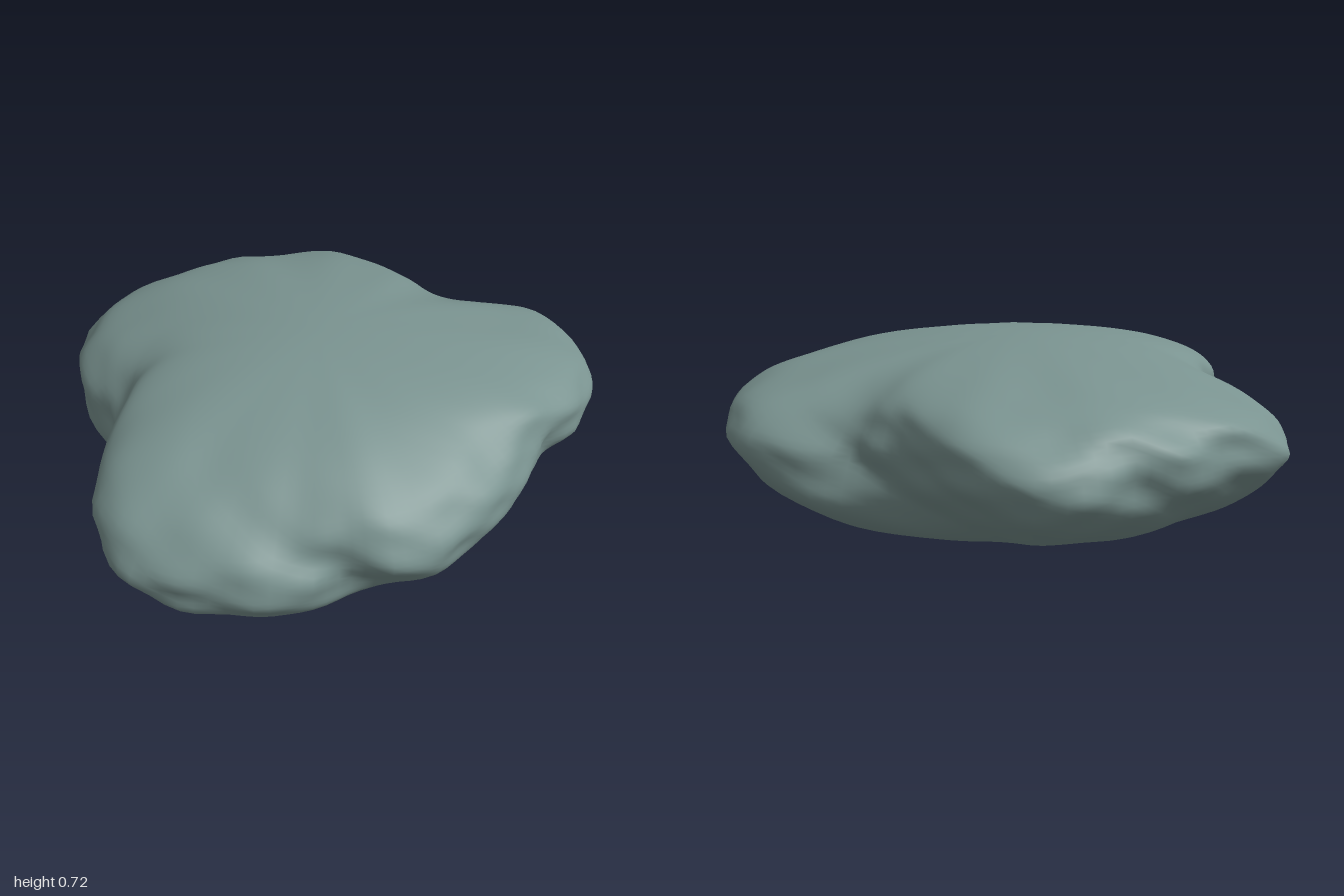
import * as THREE from 'three';
import { mergeVertices } from 'three/addons/utils/BufferGeometryUtils.js';

const CENTRE = { x: 0.02, z: -0.06 };
const HALF_HEIGHT = 0.36;
const TWIST = 0.55; // turn of the lobes from the rim to a pole, in radians
const SOFTEN = 0.5; // how far the outline is averaged near the poles, in radians

// lobed outline of the boulder at its rim, as x, z pairs
const OUTLINE = [
  [0.99, -0.36], [0.95, -0.18], [0.86, -0.05], [0.86, 0.05], [0.83, 0.19], [0.78, 0.35],
  [0.69, 0.5], [0.6, 0.62], [0.5, 0.69], [0.32, 0.71], [0.27, 0.8], [0.15, 0.9],
  [0, 0.94], [-0.13, 0.96], [-0.28, 0.96], [-0.42, 0.88], [-0.5, 0.75], [-0.53, 0.57],
  [-0.53, 0.47], [-0.6, 0.35], [-0.7, 0.24], [-0.8, 0.18], [-0.91, 0.05], [-0.97, -0.06],
  [-1, -0.22], [-0.93, -0.35], [-0.85, -0.46], [-0.8, -0.6], [-0.63, -0.72], [-0.52, -0.91],
  [-0.4, -0.96], [-0.25, -0.97], [-0.1, -0.93], [0, -0.87], [0.13, -0.84], [0.3, -0.77],
  [0.4, -0.82], [0.52, -0.85], [0.68, -0.84], [0.82, -0.76], [0.9, -0.64], [0.97, -0.5],
];

const polar = OUTLINE.map(([x, z]) => {
  const dx = x - CENTRE.x, dz = z - CENTRE.z;
  return { a: Math.atan2(dz, dx), r: Math.hypot(dx, dz) };
}).sort((p, q) => p.a - q.a);

// outline radius in a given direction
function outlineRadius(angle) {
  const n = polar.length, turn = Math.PI * 2;
  const a = Math.atan2(Math.sin(angle), Math.cos(angle));
  const i = Math.max(0, polar.findIndex((p) => p.a > a));
  const p = polar[(i + n - 1) % n], q = polar[i];
  const span = (q.a - p.a + turn) % turn;
  return THREE.MathUtils.lerp(p.r, q.r, ((a - p.a + turn) % turn) / span);
}

// outline averaged over a window that widens away from the rim
function softRadius(angle, h) {
  const width = SOFTEN * Math.abs(h);
  let sum = 0;
  for (let k = -4; k <= 4; k++) sum += outlineRadius(angle + (width * k) / 4);
  return sum / 9;
}

// small weathered bumps, strongest around the rim
function bumps(a, h) {
  return Math.sin(9 * a + 7 * h) * Math.sin(8 * h + 2 * Math.sin(3 * a))
    + 0.6 * Math.sin(23 * a - 9 * h + 1) * Math.sin(9 * h + 4 * a);
}

function boulderGeometry() {
  let geo = new THREE.SphereGeometry(1, 128, 56);
  geo.deleteAttribute('uv');
  geo.deleteAttribute('normal');
  geo = mergeVertices(geo, 1e-5);
  const pos = geo.attributes.position;
  for (let i = 0; i < pos.count; i++) {
    const h = pos.getY(i);
    const ring = Math.hypot(pos.getX(i), pos.getZ(i));
    const a = Math.atan2(pos.getZ(i), pos.getX(i));
    const rim = ring ** 3;
    // lobes and valleys spiral from the lower pole to the upper one
    const spiral = TWIST * Math.sign(h) * Math.abs(h) ** 1.5;
    const r = ring * softRadius(a - spiral, h) * (1 + 0.012 * rim * bumps(a, h));
    // the rim hangs low at the front and rides high elsewhere
    const lift = 0.03 - 0.05 * Math.sin(a) + 0.025 * Math.cos(2 * a)
      + 0.01 * Math.sin(7 * a) + 0.008 * Math.sin(13 * a);
    pos.setXYZ(i,
      CENTRE.x + r * Math.cos(a),
      HALF_HEIGHT * (1 + h) + lift * rim,
      CENTRE.z + r * Math.sin(a));
  }
  geo.computeVertexNormals();
  return geo;
}

export function createModel() {
  const group = new THREE.Group();
  group.name = 'rock';
  const stone = new THREE.MeshStandardMaterial({ color: 0x7a9390 });
  stone.name = 'grey green stone';
  const boulder = new THREE.Mesh(boulderGeometry(), stone);
  boulder.name = 'boulder';
  group.add(boulder);
  return group;
}
